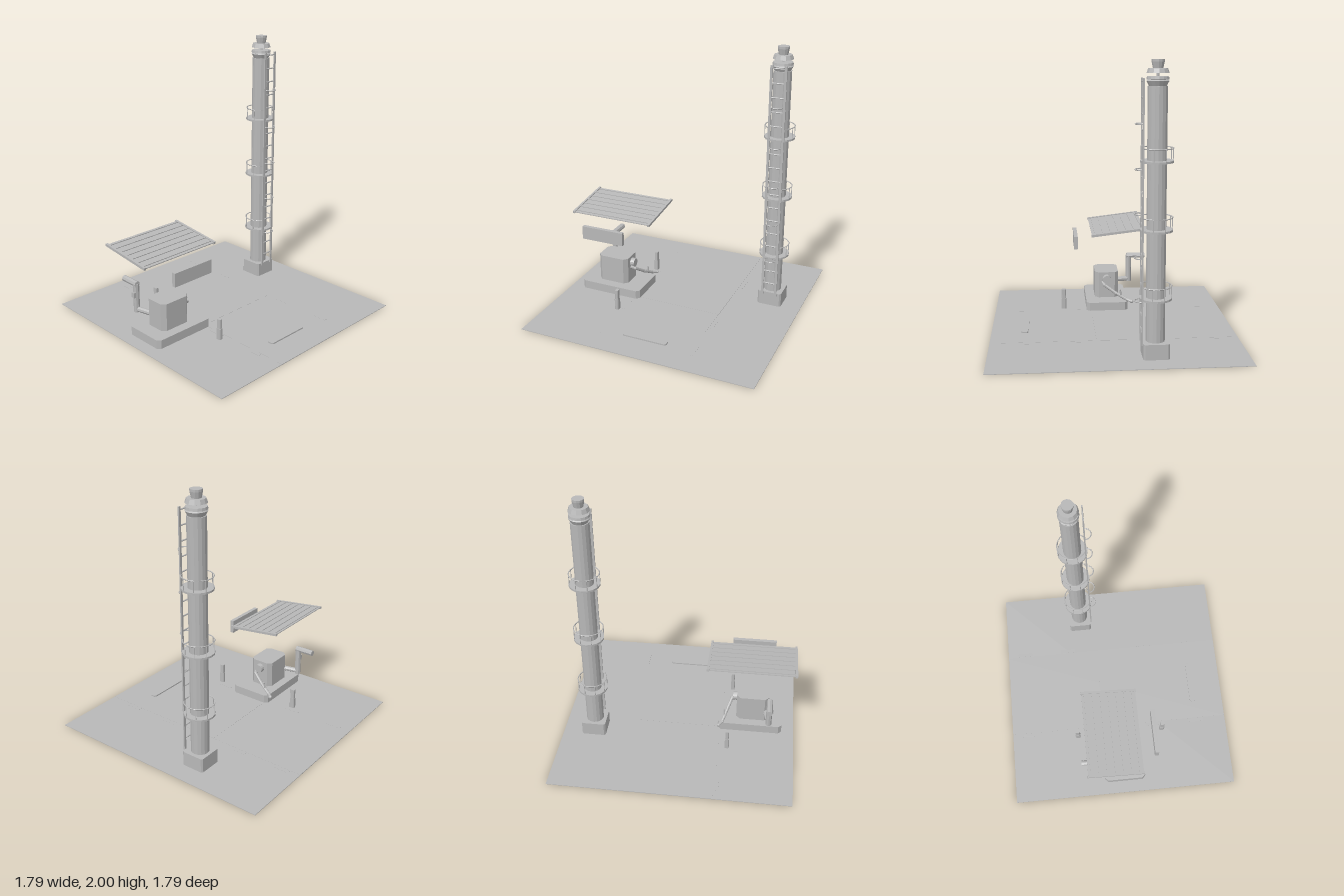
import * as THREE from 'three';

const grey = new THREE.MeshStandardMaterial({ color: 0xb8b8b8, flatShading: true });
grey.name = 'plain grey';

function add(parent, name, geometry, x = 0, y = 0, z = 0) {
  const mesh = new THREE.Mesh(geometry, grey);
  mesh.name = name;
  mesh.position.set(x, y, z);
  parent.add(mesh);
  return mesh;
}

// Box given by its lowest y
const box = (parent, name, w, h, d, x, y, z) =>
  add(parent, name, new THREE.BoxGeometry(w, h, d), x, y + h / 2, z);

// Upright block whose vertical edges are chamfered by c
function block(parent, name, w, h, d, c, x, y, z) {
  const a = w / 2, b = d / 2;
  const shape = new THREE.Shape([
    [-a + c, -b], [a - c, -b], [a, -b + c], [a, b - c],
    [a - c, b], [-a + c, b], [-a, b - c], [-a, -b + c],
  ].map(([px, py]) => new THREE.Vector2(px, py)));
  const g = new THREE.ExtrudeGeometry(shape, { depth: h, bevelEnabled: false });
  g.rotateX(-Math.PI / 2);
  return add(parent, name, g, x, y, z);
}

// Round bar between two points
function rod(parent, name, from, to, r, sides = 6) {
  const a = new THREE.Vector3(...from), b = new THREE.Vector3(...to);
  const m = add(parent, name, new THREE.CylinderGeometry(r, r, a.distanceTo(b), sides));
  m.position.copy(a).add(b).multiplyScalar(0.5);
  m.quaternion.setFromUnitVectors(new THREE.Vector3(0, 1, 0), b.sub(a).normalize());
  return m;
}

const lathe = (points, sides) =>
  new THREE.LatheGeometry(points.map(([r, y]) => new THREE.Vector2(r, y)), sides);

function group(parent, name, x = 0, y = 0, z = 0) {
  const g = new THREE.Group();
  g.name = name;
  g.position.set(x, y, z);
  parent.add(g);
  return g;
}

function buildGround(root) {
  const yard = group(root, 'yard');
  box(yard, 'ground', 1.79, 0.004, 1.79, 0, 0, 0);
  box(yard, 'driveway', 0.68, 0.001, 1.79, 0.015, 0.004, 0);
  box(yard, 'parkingBay', 0.675, 0.001, 0.265, 0.0175, 0.005, 0);
  // dashes along both edges of the driveway
  for (const x of [-0.345, 0.375])
    for (const z of [-0.75, -0.38, 0.28, 0.65])
      box(yard, 'laneDash', 0.025, 0.001, 0.12, x, 0.004, z);
  block(yard, 'speedBump', 0.345, 0.011, 0.055, 0.012, -0.008, 0.004, 0.65);
}

function buildChimney(root) {
  const tower = group(root, 'chimney', 0.655, 0, -0.25);
  block(tower, 'chimneyBase', 0.185, 0.108, 0.18, 0.012, 0, 0.004, 0);
  add(tower, 'stack', lathe([
    [0.066, 0.11], [0.066, 1.83], [0.058, 1.83], [0.075, 1.862], [0.066, 1.87],
    [0.075, 1.872], [0.072, 1.89], [0, 1.892],
  ], 16));
  add(tower, 'stackCap', lathe([
    [0.01, 1.89], [0.01, 1.912], [0.075, 1.912], [0.064, 1.942], [0.034, 1.942],
    [0.043, 1.985], [0.043, 2.0], [0, 2.0],
  ], 12));

  // platforms with railings
  for (const y of [0.405, 0.875, 1.335]) {
    const deck = group(tower, 'platform', 0, y, 0);
    add(deck, 'platformDeck', lathe([
      [0.06, 0], [0.112, 0], [0.112, 0.014], [0.06, 0.014],
    ], 16));
    // the rail leaves a gap for the ladder at the front
    const gap = 0.5;
    const rail = new THREE.TorusGeometry(0.108, 0.004, 5, 20, Math.PI * 2 - 2 * gap);
    rail.rotateX(Math.PI / 2);
    rail.rotateY(-Math.PI / 2 - gap);
    add(deck, 'platformRail', rail, 0, 0.094, 0);
    for (let i = 0; i < 8; i++) {
      const a = gap + (i / 7) * (Math.PI * 2 - 2 * gap);
      rod(deck, 'railPost', [0.108 * Math.sin(a), 0.012, 0.108 * Math.cos(a)],
        [0.108 * Math.sin(a), 0.094, 0.108 * Math.cos(a)], 0.003, 5);
    }
  }

  // ladder on the front of the stack
  const ladder = group(tower, 'ladder', 0, 0, 0.096);
  for (const x of [-0.052, 0.052])
    box(ladder, 'ladderRail', 0.018, 1.785, 0.01, x, 0.095, 0);
  for (let i = 0; i < 17; i++)
    rod(ladder, 'ladderRung', [-0.052, 0.195 + i * 0.104, 0], [0.052, 0.195 + i * 0.104, 0], 0.005);
  for (let i = 0; i < 5; i++) {
    const hoop = new THREE.TorusGeometry(0.044, 0.0045, 5, 10, Math.PI);
    hoop.rotateX(Math.PI / 2);
    add(ladder, 'ladderHoop', hoop, 0, 0.395 + i * 0.298, 0.004);
  }
}

function buildMachine(root) {
  const unit = group(root, 'machine');
  block(unit, 'machinePad', 0.5, 0.066, 0.33, 0.025, -0.55, 0.004, 0.005);
  block(unit, 'machineBody', 0.25, 0.21, 0.19, 0.03, -0.565, 0.07, 0);
  const port = add(unit, 'sidePort', new THREE.CylinderGeometry(0.033, 0.036, 0.035, 14), -0.425, 0.225, 0);
  port.rotation.z = -Math.PI / 2;

  // jointed discharge arm reaching back and down
  const path = [[-0.435, 0.2, 0.035], [-0.4, 0.185, 0.02], [-0.365, 0.125, -0.07],
    [-0.335, 0.08, -0.155], [-0.31, 0.072, -0.19]];
  for (let i = 0; i < path.length - 1; i++) {
    rod(unit, 'armSegment', path[i], path[i + 1], 0.012, 8);
    add(unit, 'armJoint', new THREE.IcosahedronGeometry(0.014, 1), ...path[i + 1]);
  }
  rod(unit, 'armStrut', [-0.35, 0.1, -0.11], [-0.345, 0.16, -0.1], 0.007);

  // exhaust pipe behind the machine
  rod(unit, 'exhaustOutlet', [-0.665, 0.152, -0.07], [-0.695, 0.152, -0.2], 0.02, 8);
  rod(unit, 'exhaustRiser', [-0.695, 0.13, -0.2], [-0.695, 0.355, -0.2], 0.023, 8);
  rod(unit, 'exhaustTop', [-0.695, 0.352, -0.185], [-0.695, 0.352, -0.335], 0.023, 8);
  box(unit, 'exhaustBracket', 0.03, 0.04, 0.03, -0.713, 0.25, -0.2);

  // bollards either side
  for (const z of [-0.352, 0.352]) {
    block(unit, 'bollardFoot', 0.032, 0.086, 0.04, 0.006, -0.388, 0.004, z);
    block(unit, 'bollardPost', 0.026, 0.075, 0.034, 0.005, -0.388, 0.088, z);
  }
}

function buildCanopy(root) {
  const sign = group(root, 'signBoard');
  box(sign, 'signPanel', 0.34, 0.102, 0.03, -0.55, 0.493, 0.25);

  // sloping roof panel with raised ribs
  const roof = group(root, 'canopy', -0.547, 0.66, -0.078);
  roof.rotation.x = 0.117;
  box(roof, 'roofSheet', 0.65, 0.006, 0.42, 0, -0.004, 0);
  for (let i = 0; i < 7; i++)
    box(roof, 'roofRib', 0.63, 0.01, 0.01, 0, -0.003, -0.187 + i * 0.0615);
  for (const x of [-0.323, 0.323])
    box(roof, 'roofEdge', 0.018, 0.018, 0.43, x, -0.009, 0);
}

export function createModel() {
  const root = new THREE.Group();
  root.name = 'industrialYard';
  buildGround(root);
  buildChimney(root);
  buildMachine(root);
  buildCanopy(root);
  return root;
}
